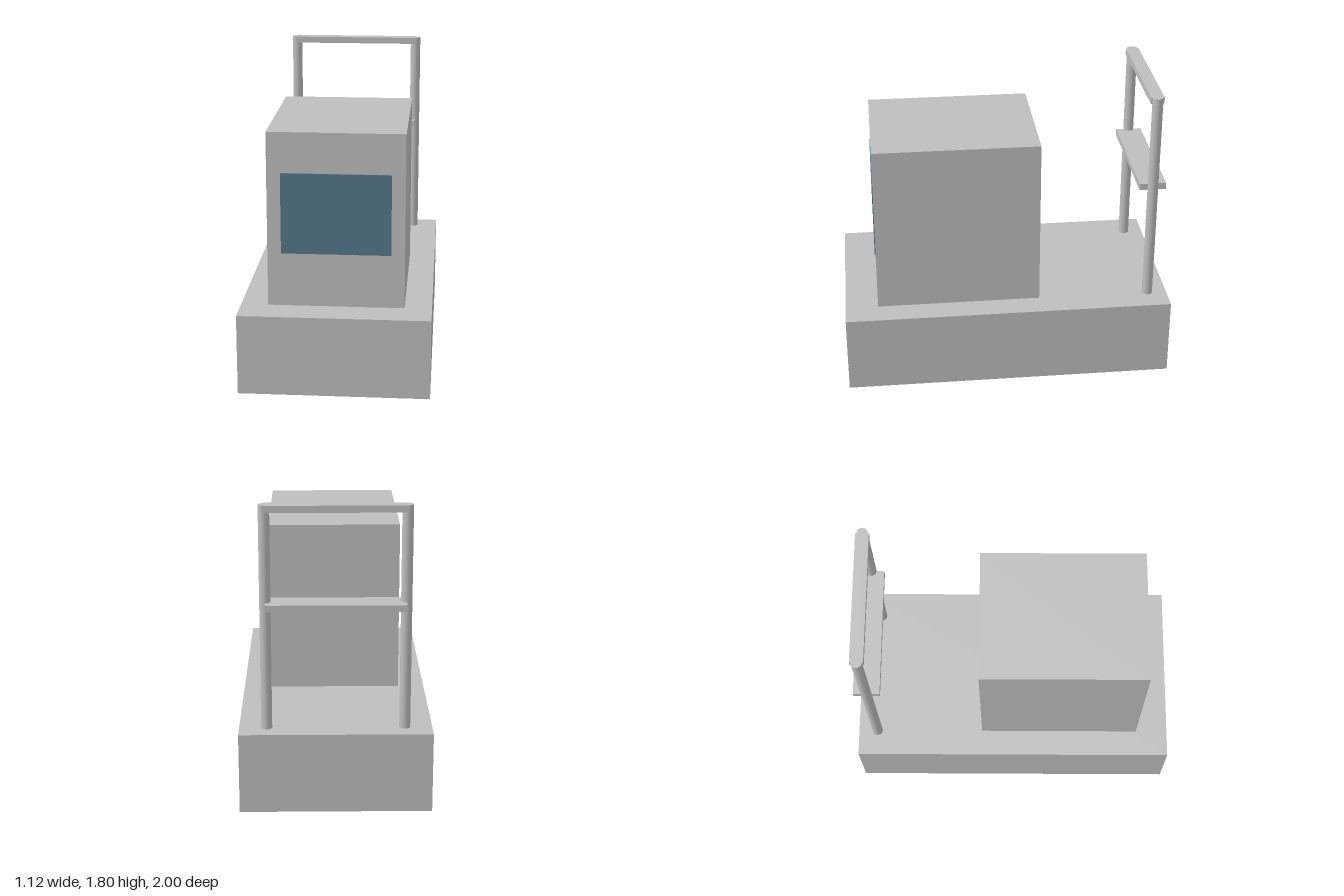
import * as THREE from 'three';

export function createModel() {
  const model = new THREE.Group();
  model.name = 'cartWithCabinet';

  const grey = new THREE.MeshStandardMaterial({ color: 0xbebebe });
  grey.name = 'light grey';
  const blue = new THREE.MeshStandardMaterial({ color: 0x557788 });
  blue.name = 'slate blue';

  const add = (name, geometry, material, x, y, z) => {
    const mesh = new THREE.Mesh(geometry, material);
    mesh.name = name;
    mesh.position.set(x, y, z);
    model.add(mesh);
  };
  const box = (name, w, h, d, x, y, z, material = grey) =>
    add(name, new THREE.BoxGeometry(w, h, d), material, x, y, z);

  // Base block and the cabinet standing on it
  box('base', 1.12, 0.48, 2, 0, 0.24, 0);
  box('cabinet', 0.8, 1.04, 1, 0, 1.0, 0.3);

  // Thin panel on the cabinet front
  box('frontPanel', 0.64, 0.48, 0.005, 0, 1.04, 0.8025, blue);

  // Rear rail: two round posts joined by a top bar and a shelf
  for (const side of [-1, 1]) {
    add(side > 0 ? 'leftPost' : 'rightPost',
      new THREE.CylinderGeometry(0.032, 0.032, 1.32, 24), grey, side * 0.4, 1.14, -0.88);
  }
  box('topBar', 0.8, 0.04, 0.08, 0, 1.78, -0.88);
  box('shelf', 0.8, 0.04, 0.16, 0, 1.22, -0.88);

  return model;
}
